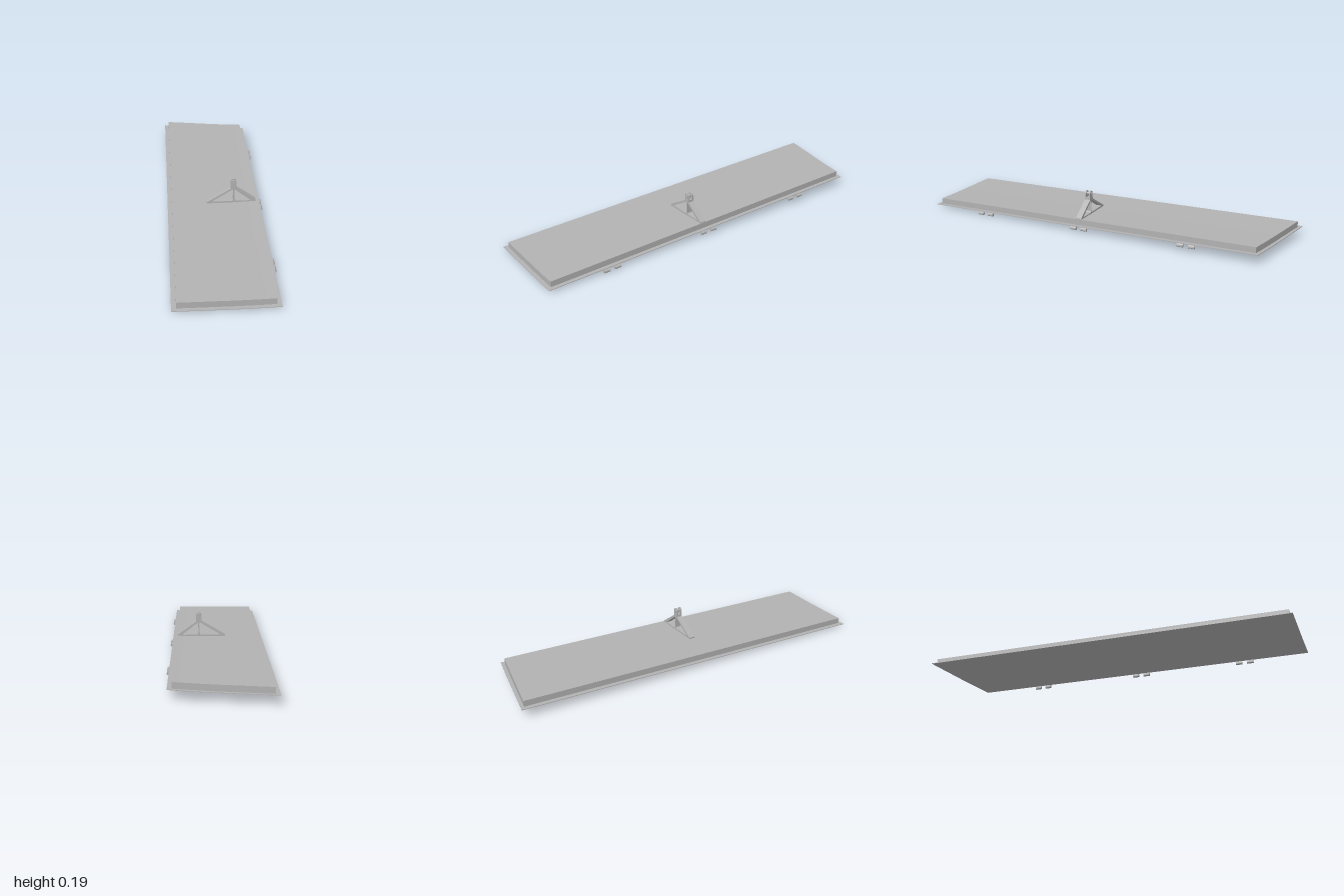
import * as THREE from 'three';

const grey = new THREE.MeshStandardMaterial({ color: 0xb2b2b2 });
grey.name = 'plainGrey';

// Underside height: slopes down to the front, curls up slightly on the +x side
const baseY = (x, z) => 0.0275 - 0.0195 * z + 0.08 * Math.max(0, x) ** 2;

function add(parent, name, geometry) {
  const mesh = new THREE.Mesh(geometry, grey);
  mesh.name = name;
  parent.add(mesh);
  return mesh;
}

// Panel with a slanted back edge, laid on the sloping base surface
function slab(x0, x1, front, backLeft, backRight, low, high) {
  const geo = new THREE.BoxGeometry(1, 1, 1, 16, 1, 1);
  const p = geo.attributes.position;
  for (let i = 0; i < p.count; i++) {
    const t = p.getX(i) + 0.5;
    const x = x0 + (x1 - x0) * t;
    const z = p.getZ(i) > 0 ? front : backLeft + (backRight - backLeft) * t;
    p.setXYZ(i, x, baseY(x, z) + (p.getY(i) > 0 ? high : low), z);
  }
  geo.computeVertexNormals();
  return geo;
}

// Closed polygon with rounded corners
function rounded(points, r, Type = THREE.Path) {
  const path = new Type();
  const pts = points.map(([x, y]) => new THREE.Vector2(x, y));
  pts.forEach((c, i) => {
    const prev = pts[(i + pts.length - 1) % pts.length];
    const next = pts[(i + 1) % pts.length];
    const a = prev.clone().sub(c).setLength(r).add(c);
    const b = next.clone().sub(c).setLength(r).add(c);
    if (i === 0) path.moveTo(a.x, a.y);
    else path.lineTo(a.x, a.y);
    path.quadraticCurveTo(c.x, c.y, b.x, b.y);
  });
  path.closePath();
  return path;
}

function extrude(shape, depth, z = 0) {
  const geo = new THREE.ExtrudeGeometry(shape, { depth, bevelEnabled: false, curveSegments: 10 });
  return geo.translate(0, 0, z - depth / 2);
}

// Triangular fitting with a forked top
function makeBracket() {
  const bracket = new THREE.Group();
  bracket.name = 'actuatorBracket';
  const width = 0.032;

  const frame = new THREE.Shape([
    [-0.045, 0.058], [0.22, 0.058], [0.22, 0.069], [0.116, 0.143],
    [0.115, 0.155], [0.085, 0.155], [0.084, 0.143], [-0.045, 0.067],
  ].map(([x, y]) => new THREE.Vector2(x, y)));
  frame.holes.push(
    rounded([[-0.021, 0.069], [0.098, 0.069], [0.098, 0.141]], 0.011),
    rounded([[0.103, 0.069], [0.194, 0.069], [0.103, 0.139]], 0.01),
  );
  add(bracket, 'bracketFrame', extrude(frame, width));

  // Two ears with a pin through them
  const ear = new THREE.Shape();
  ear.moveTo(0.085, 0.154);
  ear.lineTo(0.115, 0.154);
  ear.lineTo(0.115, 0.175);
  ear.absarc(0.1, 0.175, 0.015, 0, Math.PI);
  ear.closePath();
  for (const side of [-1, 1]) {
    add(bracket, side > 0 ? 'frontEar' : 'backEar', extrude(ear, 0.008, side * 0.012));
  }
  const pin = add(bracket, 'bracketPin', new THREE.CylinderGeometry(0.007, 0.007, 0.04, 20));
  pin.rotation.x = Math.PI / 2;
  pin.position.set(0.1, 0.175, 0);

  bracket.position.z = 0.083;
  bracket.rotation.y = 0.02;
  return bracket;
}

// Hinge knuckle hanging from the plate edge
function knuckle() {
  const s = new THREE.Shape();
  s.moveTo(-0.007, 0);
  s.absarc(0, 0, 0.007, Math.PI, Math.PI * 2);
  s.lineTo(0.006, 0.006);
  s.lineTo(0.001, 0.0105);
  s.lineTo(-0.007, 0.0105);
  s.closePath();
  return extrude(s, 0.034);
}

export function createModel() {
  const model = new THREE.Group();
  model.name = 'hingedPanel';

  add(model, 'skinPlate', slab(-0.257, 0.245, 1, -1, -0.915, 0, 0.003));
  add(model, 'raisedPanel', slab(-0.234, 0.223, 0.98, -0.98, -0.9, 0.003, 0.034));
  model.add(makeBracket());

  // Three pairs of hinges along the +x edge
  const hinges = new THREE.Group();
  hinges.name = 'hinges';
  for (const z of [-0.578, 0.032, 0.626]) {
    for (const offset of [0, 0.062]) {
      const part = add(hinges, 'hingeKnuckle', knuckle());
      const zc = z + offset;
      part.position.set(0.249, baseY(0.245, zc) - 0.0105, zc);
    }
  }
  model.add(hinges);
  return model;
}
